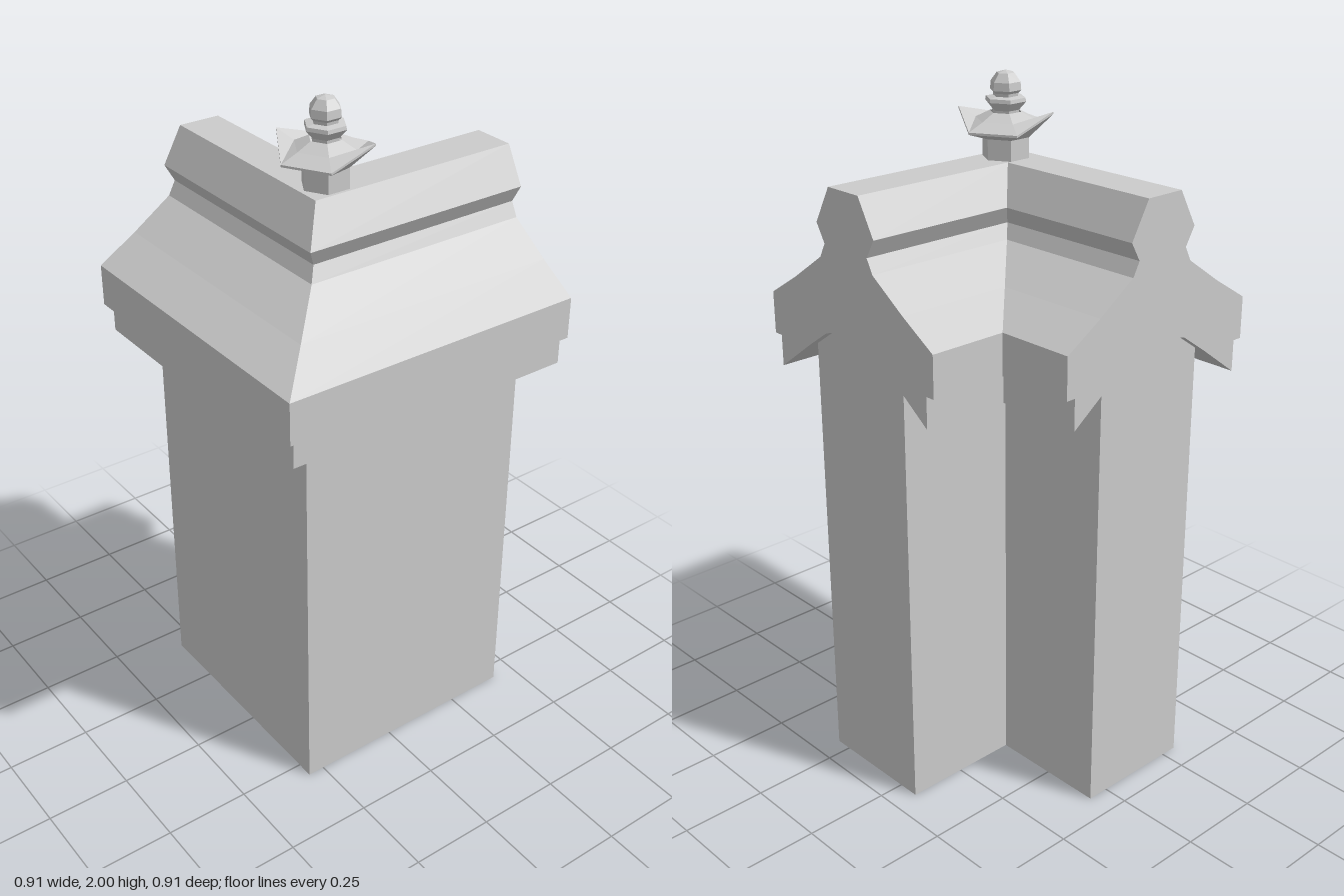
import * as THREE from 'three';

const C = 0.117;    // centre line of both wall arms
const END = -0.455; // cut ends of the coping

// Closed, symmetric coping section: offset from the centre line, height
function copingSection() {
  const half = [
    [0.05, 1.375], [0.1, 1.36], [0.18, 1.305], [0.31, 1.21], [0.31, 1.3],
    [0.338, 1.3], [0.338, 1.42], [0.225, 1.49], [0.109, 1.57], [0.088, 1.61],
    [0.118, 1.662], [0.061, 1.765],
  ];
  return [...half, ...half.map(([d, y]) => [-d, y]).reverse()];
}

// Sweep a section round the mitred corner, with capped ends
function sweepCorner(section) {
  const n = section.length;
  const stations = [
    (d) => [END, C + d],
    (d) => [C + d, C + d],
    (d) => [C + d, END],
  ];
  const pos = [], index = [];
  for (const at of stations) {
    for (const [d, y] of section) {
      const [x, z] = at(d);
      pos.push(x, y, z);
    }
  }
  for (let s = 0; s < 2; s++) {
    for (let i = 0; i < n; i++) {
      const j = (i + 1) % n, a = s * n, b = a + n;
      index.push(a + i, b + i, b + j, a + i, b + j, a + j);
    }
  }
  const contour = section.map(([d, y]) => new THREE.Vector2(d, y));
  for (const [a, b, c] of THREE.ShapeUtils.triangulateShape(contour, [])) {
    index.push(a, b, c, 2 * n + c, 2 * n + b, 2 * n + a);
  }
  const g = new THREE.BufferGeometry();
  g.setAttribute('position', new THREE.Float32BufferAttribute(pos, 3));
  g.setIndex(index);
  const flat = g.toNonIndexed();
  flat.computeVertexNormals();
  return flat;
}

// L-shaped wall
function wallGeometry() {
  const o = 0.3, i = -0.065, e = -0.425;
  const plan = [[e, o], [o, o], [o, e], [i, e], [i, i], [e, i]];
  const shape = new THREE.Shape(plan.map(([x, z]) => new THREE.Vector2(x, -z)));
  const g = new THREE.ExtrudeGeometry(shape, { depth: 1.38, bevelEnabled: false });
  return g.rotateX(-Math.PI / 2);
}

// Six-sided turned piece
function hexLathe(points) {
  return new THREE.LatheGeometry(points.map(([r, y]) => new THREE.Vector2(r, y)), 6);
}

// Small hexagonal roof with two opposite corners turned up
function canopyGeometry() {
  const g = hexLathe([[0.066, 1.822], [0.134, 1.844], [0.134, 1.85], [0.085, 1.87], [0.045, 1.89]]);
  const p = g.attributes.position;
  for (let k = 0; k < p.count; k++) {
    const x = p.getX(k), z = p.getZ(k);
    if (Math.hypot(x, z) > 0.12 && x * z < -0.002) p.setY(k, p.getY(k) + 0.045);
  }
  return g;
}

export function createModel() {
  const model = new THREE.Group();
  const mat = new THREE.MeshStandardMaterial({
    color: 0xcccccc, flatShading: true, side: THREE.DoubleSide,
  });
  const add = (parent, name, geometry) => {
    const mesh = new THREE.Mesh(geometry, mat);
    mesh.name = name;
    parent.add(mesh);
  };

  add(model, 'cornerWall', wallGeometry());
  add(model, 'coping', sweepCorner(copingSection()));

  // Lantern-shaped finial on the corner
  const finial = new THREE.Group();
  finial.name = 'finial';
  finial.position.set(0.112, 0, 0.1);
  add(finial, 'finialPost', hexLathe([[0.066, 1.74], [0.066, 1.825], [0, 1.825]]));
  add(finial, 'finialCanopy', canopyGeometry());
  add(finial, 'finialCollar', hexLathe([
    [0.036, 1.87], [0.038, 1.895], [0.058, 1.918], [0.056, 1.928], [0.034, 1.932],
  ]));
  add(finial, 'finialBud', hexLathe([
    [0.034, 1.925], [0.036, 1.94], [0.044, 1.948], [0.042, 1.97], [0.025, 1.993], [0, 2],
  ]));
  model.add(finial);
  return model;
}
